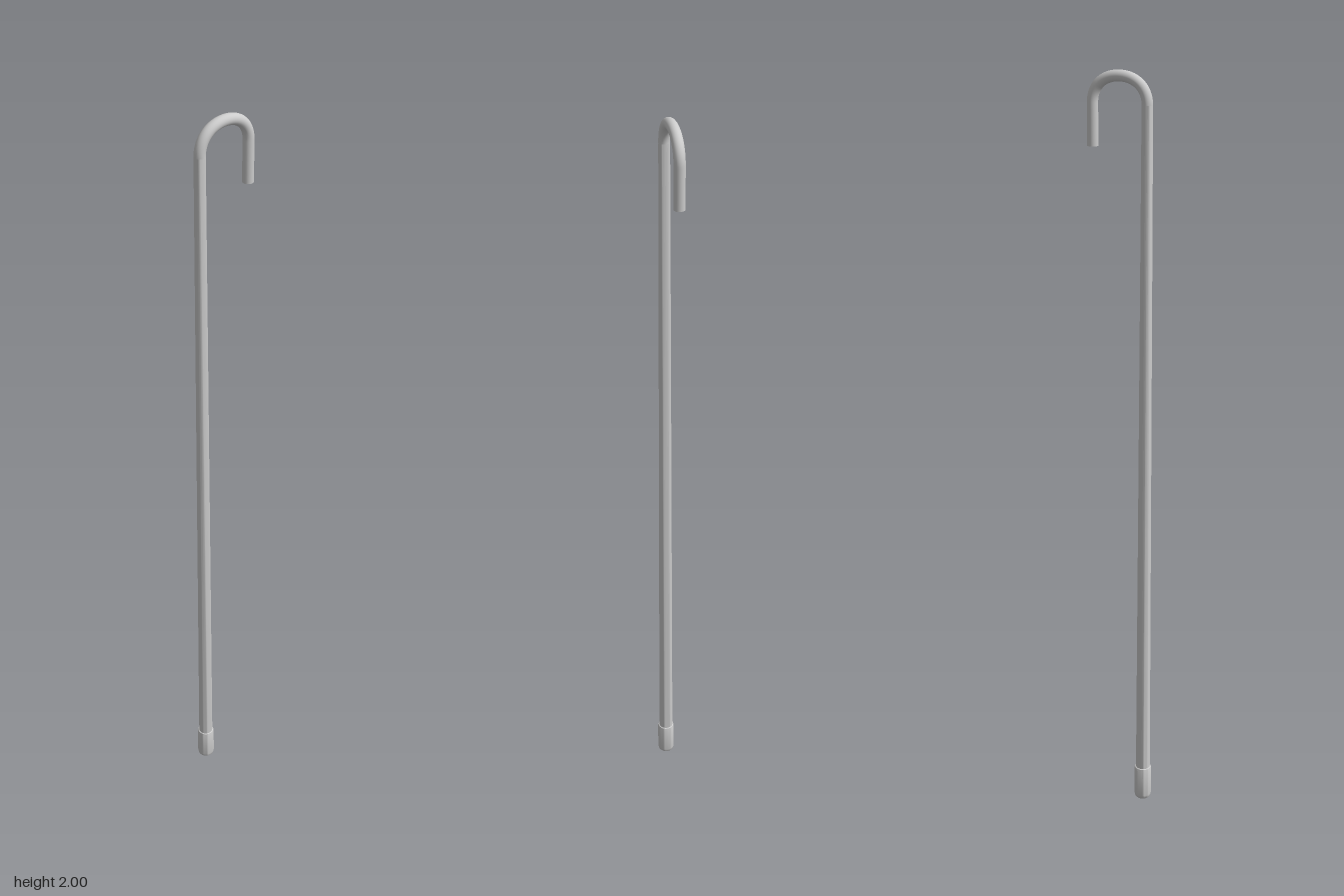
import * as THREE from 'three';
import { toCreasedNormals } from 'three/addons/utils/BufferGeometryUtils.js';

const SHAFT_Z = 0.065, HOOK_Z = -0.076, TUBE_R = 0.0135;
const BEND_Y = 1.922, CROWN_Y = 2 - TUBE_R, TIP_Y = 1.82;

export function createModel() {
  const group = new THREE.Group();
  group.name = 'walkingCane';
  const material = new THREE.MeshStandardMaterial({ color: 0xcccccc });

  const add = (name, geometry, z = 0) => {
    const mesh = new THREE.Mesh(geometry, material);
    mesh.name = name;
    mesh.position.z = z;
    group.add(mesh);
  };
  // Turned part from [radius, height] pairs, bottom to top
  const turned = (pairs) => toCreasedNormals(
    new THREE.LatheGeometry(pairs.map(([r, y]) => new THREE.Vector2(r, y)), 32), 0.6);

  // Rubber foot with bevelled rims
  add('foot', turned([
    [0, 0], [0.019, 0], [0.022, 0.004], [0.0235, 0.012],
    [0.0235, 0.092], [0.022, 0.098], [0.018, 0.1],
  ]), SHAFT_Z);

  // Shaft, tapering towards the handle
  add('shaft', turned([[0.0195, 0.09], [TUBE_R, BEND_Y]]), SHAFT_Z);

  // Hooked handle: two quarter bends over the crown, then a short straight drop
  const midZ = (SHAFT_Z + HOOK_Z) / 2;
  const p = (y, z) => new THREE.Vector3(0, y, z);
  const bend = 0.6;
  const handleY = BEND_Y + (CROWN_Y - BEND_Y) * bend;
  const quarter = (z) => [
    p(BEND_Y, z), p(handleY, z), p(CROWN_Y, midZ + (z - midZ) * bend), p(CROWN_Y, midZ),
  ];
  const path = new THREE.CurvePath();
  path.add(new THREE.CubicBezierCurve3(...quarter(SHAFT_Z)));
  path.add(new THREE.CubicBezierCurve3(...quarter(HOOK_Z).reverse()));
  path.add(new THREE.LineCurve3(p(BEND_Y, HOOK_Z), p(TIP_Y, HOOK_Z)));
  add('handle', new THREE.TubeGeometry(path, 64, TUBE_R, 24));

  // Flat end of the handle, facing down
  const tip = new THREE.CircleGeometry(TUBE_R, 24);
  tip.rotateX(Math.PI / 2).translate(0, TIP_Y, 0);
  add('handleTip', tip, HOOK_Z);

  return group;
}
